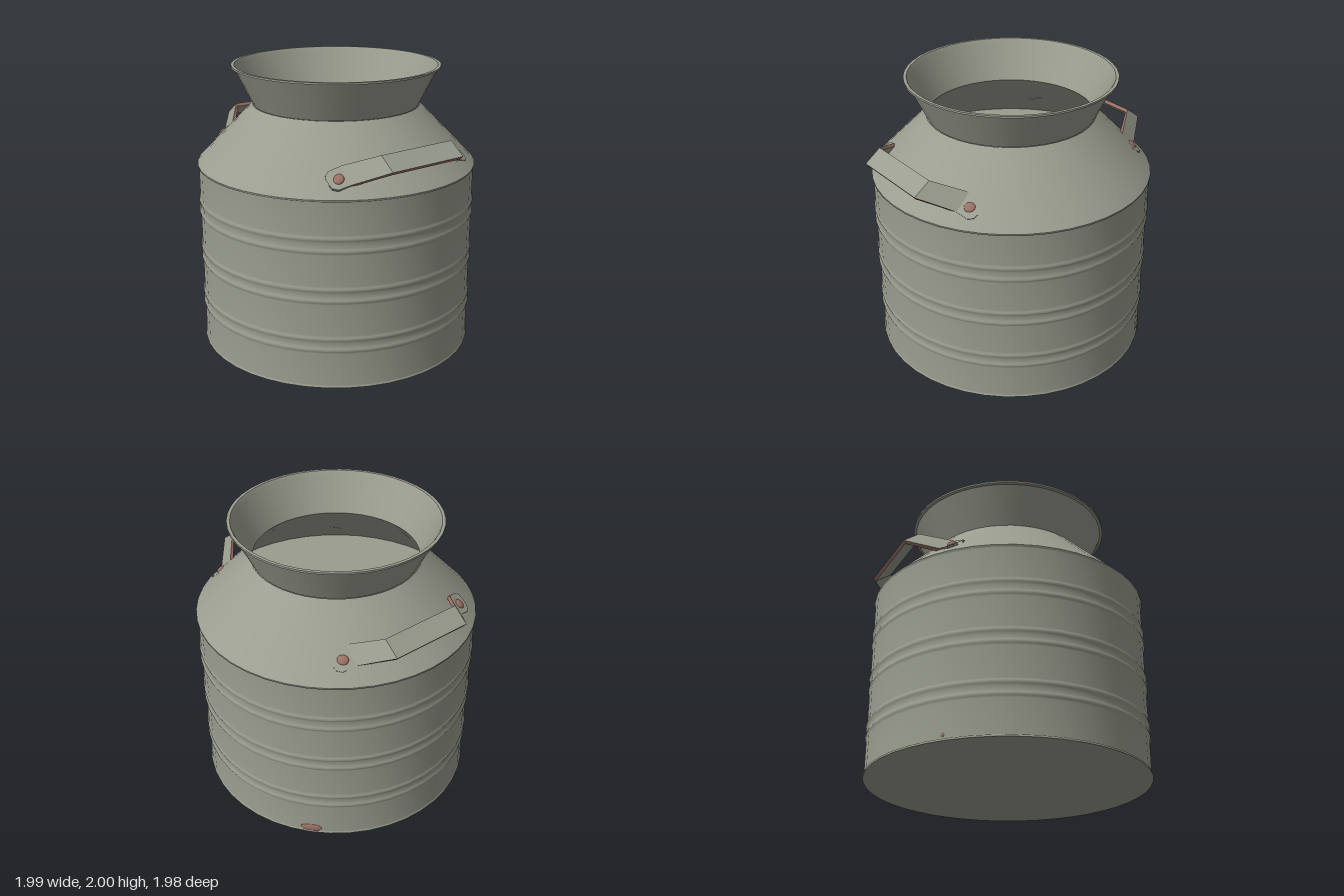
import * as THREE from 'three';

const metal = new THREE.MeshStandardMaterial({ color: 0x9a9d8f, side: THREE.DoubleSide });
metal.name = 'grey metal';
const copper = new THREE.MeshStandardMaterial({ color: 0x9c7064, side: THREE.DoubleSide });
copper.name = 'worn copper';

const SEGMENTS = 44;
const V = (x, y, z) => new THREE.Vector3(x, y, z);

function addMesh(parent, name, geometry, material) {
  const mesh = new THREE.Mesh(geometry, material);
  mesh.name = name;
  parent.add(mesh);
  return mesh;
}

function lathe(parent, name, points) {
  const profile = points.map(([r, y]) => new THREE.Vector2(r, y));
  return addMesh(parent, name, new THREE.LatheGeometry(profile, SEGMENTS), metal);
}

// Joins two rows of points with flat quads.
function ribbon(parent, name, a, b, material) {
  const positions = [];
  for (let i = 0; i < a.length - 1; i++) {
    for (const p of [a[i], b[i], b[i + 1], a[i], b[i + 1], a[i + 1]]) positions.push(p.x, p.y, p.z);
  }
  const geometry = new THREE.BufferGeometry();
  geometry.setAttribute('position', new THREE.Float32BufferAttribute(positions, 3));
  geometry.computeVertexNormals();
  return addMesh(parent, name, geometry, material);
}

// Flattened round stud facing along a direction.
function stud(parent, name, position, direction, width, height, depth) {
  const mesh = addMesh(parent, name, new THREE.SphereGeometry(1, 16, 10), copper);
  mesh.scale.set(width, height, depth);
  mesh.position.copy(position);
  mesh.quaternion.setFromUnitVectors(V(0, 0, 1), direction.clone().normalize());
  return mesh;
}

function createHandle() {
  const handle = new THREE.Group();
  // Upper and lower edges of half the strap, from the rounded foot to the grip.
  const half = [
    [V(0.675, 1.425, 0.58), V(0.71, 1.4, 0.583)],
    [V(0.655, 1.445, 0.57), V(0.74, 1.382, 0.578)],
    [V(0.648, 1.466, 0.54), V(0.768, 1.375, 0.55)],
    [V(0.675, 1.495, 0.455), V(0.79, 1.396, 0.465)],
    [V(0.875, 1.58, 0.3), V(0.99, 1.495, 0.3)],
  ];
  const flip = (p) => V(p.x, p.y, -p.z);
  const stations = [...half, ...half.map((s) => s.map(flip)).reverse()];
  const middle = stations.map(([u, l]) => u.clone().add(l).multiplyScalar(0.5));
  const outer = [[], []], inner = [[], []];
  stations.forEach((edges, i) => {
    const along = middle[Math.min(i + 1, middle.length - 1)].clone().sub(middle[Math.max(i - 1, 0)]);
    const normal = along.cross(edges[1].clone().sub(edges[0])).normalize();
    if (normal.y < 0) normal.negate();
    edges.forEach((p, k) => {
      outer[k].push(p);
      inner[k].push(p.clone().addScaledVector(normal, -0.026));
    });
  });
  ribbon(handle, 'strapOuterFace', outer[0], outer[1], metal);
  ribbon(handle, 'strapInnerFace', inner[1], inner[0], metal);
  // Worn edges run along the raised part; the feet stay grey.
  for (const k of [0, 1]) {
    const edge = k ? 'strapLowerEdge' : 'strapUpperEdge';
    ribbon(handle, edge, outer[k].slice(3, 7), inner[k].slice(3, 7), copper);
    ribbon(handle, 'footEdge', outer[k].slice(0, 4), inner[k].slice(0, 4), metal);
    ribbon(handle, 'footEdge', outer[k].slice(6), inner[k].slice(6), metal);
  }
  for (const side of [1, -1]) {
    stud(handle, 'rivet', V(0.721, 1.426, side * 0.513), V(0.56, 0.72, side * 0.41), 0.034, 0.038, 0.016);
  }
  handle.position.z = 0.015;
  return handle;
}

export function createModel() {
  const model = new THREE.Group();
  const can = new THREE.Group();
  can.name = 'can';
  can.position.x = -0.005;
  model.add(can);

  // Body wall with three pairs of pressed ridges.
  const wall = [[0.99, 0], [0.99, 0.012], [0.982, 0.016]];
  for (const y of [0.275, 0.355, 0.625, 0.705, 0.97, 1.055]) {
    wall.push([0.982, y - 0.026], [0.987, y - 0.012], [0.991, y], [0.987, y + 0.012], [0.982, y + 0.026]);
  }
  wall.push([0.982, 1.3], [0.99, 1.305], [0.99, 1.316]);
  lathe(can, 'bodyWall', wall);
  lathe(can, 'base', [[0, 0], [0.99, 0]]);

  // Sloping shoulder, its underside, and the floor seen through the neck.
  lathe(can, 'shoulder', [[0.99, 1.316], [0.59, 1.722]]);
  lathe(can, 'shoulderInside', [[0.575, 1.72], [0.97, 1.315]]);
  lathe(can, 'innerFloor', [[0.97, 1.315], [0, 1.315]]);

  // Flared neck with a thin lip.
  lathe(can, 'neckOutside', [[0.585, 1.722], [0.712, 1.984]]);
  lathe(can, 'lip', [[0.712, 1.984], [0.732, 1.987]]);
  lathe(can, 'lipEdge', [[0.732, 1.987], [0.732, 2]]);
  lathe(can, 'lipTop', [[0.732, 2], [0.71, 2]]);
  lathe(can, 'neckInside', [[0.71, 2], [0.695, 1.975], [0.575, 1.72]]);

  // Carrying handles.
  const left = createHandle();
  left.name = 'leftHandle';
  const right = createHandle();
  right.name = 'rightHandle';
  right.scale.x = -1;
  right.position.set(0.015, 0.018, 0.01);
  model.add(left, right);

  // Worn spots near the base.
  stud(model, 'backWornSpot', V(-0.65, 0.035, -0.735), V(-0.65, 0, -0.735), 0.075, 0.033, 0.012);
  stud(model, 'frontWornSpot', V(-0.765, 0.04, 0.615), V(-0.765, 0, 0.615), 0.015, 0.012, 0.006);
  return model;
}
